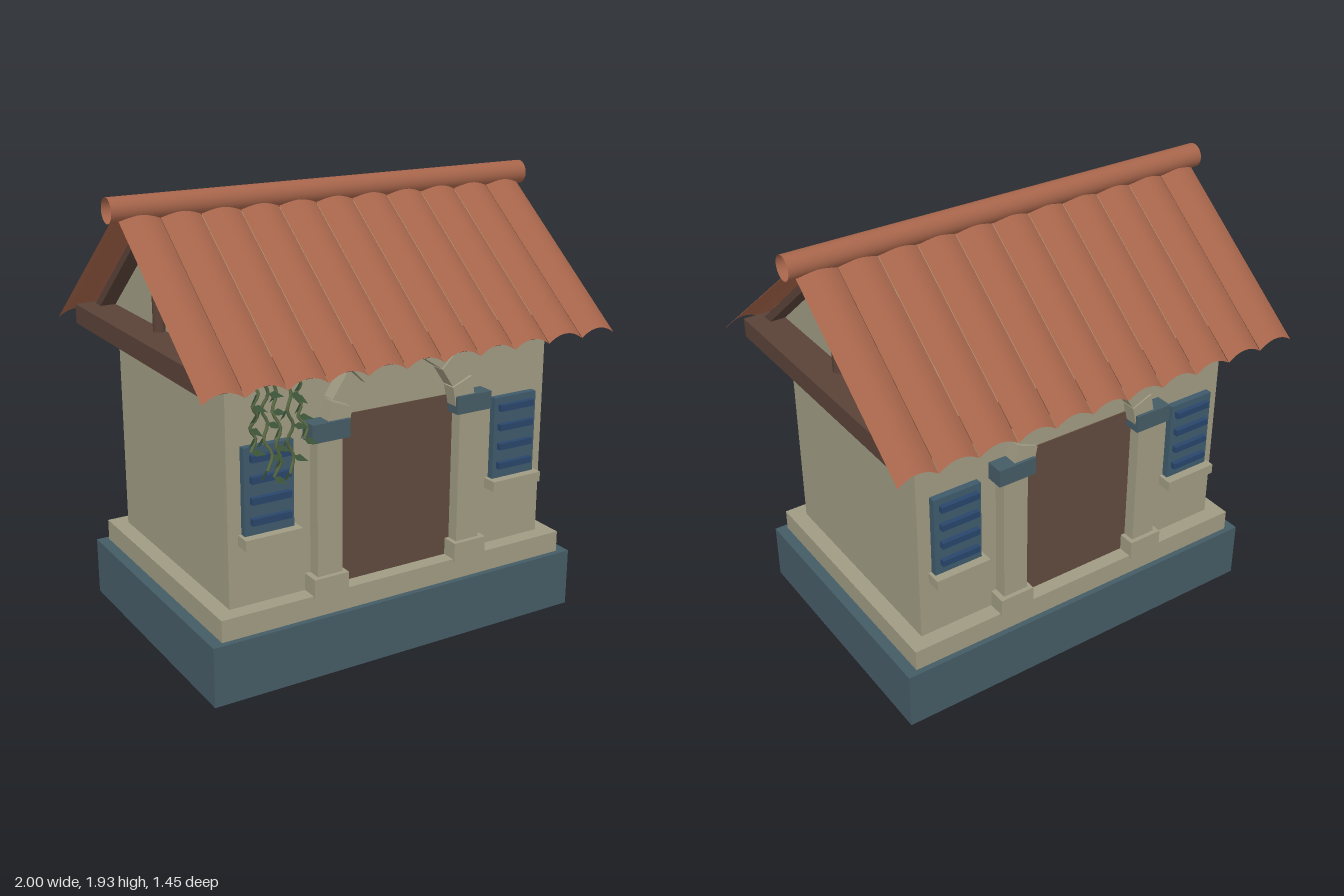
import * as THREE from 'three';

const mat = (name, color, side = THREE.FrontSide) => {
  const m = new THREE.MeshStandardMaterial({ color, side });
  m.name = name;
  return m;
};

export function createModel() {
  const stone = mat('warm stone', 0xa09b83);
  const slate = mat('blue slate', 0x455c66);
  const timber = mat('dark timber', 0x5a4238);
  const doorWood = mat('door wood', 0x604a3e);
  const shutterBlue = mat('shutter blue', 0x3f5a6b);
  const slatBlue = mat('slat blue', 0x29466b);
  const clay = mat('clay tile', 0xa5644a, THREE.DoubleSide);
  const stemGreen = mat('stem green', 0x5a6b45);
  const leafGreen = mat('leaf green', 0x4a6848, THREE.DoubleSide);

  const house = new THREE.Group();
  house.name = 'house';

  const add = (parent, name, geometry, material) => {
    const mesh = new THREE.Mesh(geometry, material);
    mesh.name = name;
    parent.add(mesh);
    return mesh;
  };
  // Box given by its limits on each axis
  const box = (parent, name, material, x0, x1, y0, y1, z0, z1) => {
    const mesh = add(parent, name, new THREE.BoxGeometry(x1 - x0, y1 - y0, z1 - z0), material);
    mesh.position.set((x0 + x1) / 2, (y0 + y1) / 2, (z0 + z1) / 2);
    return mesh;
  };
  const polygon = (points) => new THREE.Shape(points.map(([x, y]) => new THREE.Vector2(x, y)));

  // Base, walls and wall-top frame
  box(house, 'plinth', slate, -0.89, 0.89, 0, 0.26, -0.605, 0.605);
  box(house, 'step', stone, -0.84, 0.84, 0.26, 0.355, -0.58, 0.58);
  box(house, 'walls', stone, -0.77, 0.77, 0.355, 1.295, -0.51, 0.51);
  box(house, 'eaveFrame', timber, -0.92, 0.92, 1.29, 1.375, -0.62, 0.62);

  // Gable prism running along x
  const gable = new THREE.ExtrudeGeometry(
    polygon([[-0.55, 1.37], [0.55, 1.37], [0, 1.83]]), { depth: 1.54, bevelEnabled: false });
  gable.translate(0, 0, -0.77).rotateY(Math.PI / 2);
  add(house, 'gable', gable, stone);

  // Rafters and king post at both ends
  for (const s of [-1, 1]) {
    for (const side of [-1, 1]) {
      const points = [[0, 1.86], [0, 1.82], [0.53 * side, 1.375], [0.585 * side, 1.375]];
      const rafter = new THREE.ExtrudeGeometry(polygon(points), { depth: 0.07, bevelEnabled: false });
      rafter.translate(0, 0, -0.035).rotateY(Math.PI / 2);
      add(house, 'rafter', rafter, timber).position.x = 0.805 * s;
    }
    const post = add(house, 'kingPost', new THREE.CylinderGeometry(0.025, 0.025, 0.37, 10), timber);
    post.position.set(0.8 * s, 1.565, 0);
  }

  // Facade used on the front and the back
  const facade = new THREE.Group();
  facade.name = 'facade';
  box(facade, 'door', doorWood, -0.285, 0.285, 0.355, 1.08, 0.506, 0.515);
  for (const s of [-1, 1]) {
    const sideBox = (name, m, a, b, ...rest) =>
      box(facade, name, m, Math.min(a * s, b * s), Math.max(a * s, b * s), ...rest);
    sideBox('column', stone, 0.285, 0.4, 0.355, 1.02, 0.5, 0.57);
    sideBox('columnBase', stone, 0.265, 0.425, 0.345, 0.43, 0.5, 0.59);
    sideBox('columnCapital', slate, 0.26, 0.433, 1.01, 1.087, 0.5, 0.588);
    sideBox('shutter', shutterBlue, 0.49, 0.71, 0.665, 1.03, 0.5, 0.54);
    sideBox('windowSill', stone, 0.472, 0.725, 0.62, 0.665, 0.5, 0.578);
    for (let i = 0; i < 4; i++) {
      const y = 0.725 + i * 0.087;
      sideBox('shutterSlat', slatBlue, 0.51, 0.685, y - 0.014, y + 0.014, 0.53, 0.562);
    }
  }
  // Arch stones
  const stones = 8, gap = 0.012;
  for (let i = 0; i < stones; i++) {
    const a = Math.PI * i / stones + gap, b = Math.PI * (i + 1) / stones - gap;
    const at = (r, t) => [r * Math.cos(t), 1.03 + r * Math.sin(t)];
    const shape = polygon([at(0.262, a), at(0.363, a), at(0.363, b), at(0.262, b)]);
    const wedge = new THREE.ExtrudeGeometry(shape, { depth: 0.075, bevelEnabled: false });
    add(facade, 'archStone', wedge, stone).position.z = 0.5;
  }
  house.add(facade);
  const rear = facade.clone();
  rear.name = 'rearFacade';
  rear.rotation.y = Math.PI;
  house.add(rear);

  // Curved clay tiles on both slopes
  const count = 11, pitch = 1.93 / count, width = pitch - 0.002;
  const tile = new THREE.PlaneGeometry(width, 0.72, 10, 1).rotateX(-Math.PI / 2);
  const p = tile.attributes.position;
  for (let i = 0; i < p.count; i++) {
    const u = p.getX(i) / (width / 2), z = p.getZ(i) + 0.365;
    p.setXYZ(i, p.getX(i), 1.9 - 0.787 * z - 0.032 * u * u, z);
  }
  tile.computeVertexNormals();
  for (const turn of [0, Math.PI]) {
    const slope = new THREE.Group();
    slope.name = 'roofSlope';
    slope.rotation.y = turn;
    for (let i = 0; i < count; i++) {
      add(slope, 'roofTile', tile, clay).position.x = (i - (count - 1) / 2) * pitch;
    }
    house.add(slope);
  }
  // Open ridge tube
  const ridge = new THREE.CylinderGeometry(0.052, 0.052, 2, 24, 1, true).rotateZ(Math.PI / 2);
  add(house, 'ridge', ridge, clay).position.y = 1.883;

  // Hanging vine over one front window
  const vine = new THREE.Group();
  vine.name = 'vine';
  const leaf = new THREE.ShapeGeometry(polygon([[0, 0], [0.02, 0.018], [0.062, 0], [0.02, -0.016]]));
  const ends = [[-0.69, 1.03], [-0.63, 0.95], [-0.59, 0.91], [-0.52, 0.91], [-0.47, 1.05]];
  ends.forEach(([endX, endY], k) => {
    const startX = -0.69 + k * 0.045, points = [];
    for (let i = 0; i <= 6; i++) {
      const t = i / 6;
      points.push(new THREE.Vector3(
        startX + (endX - startX) * t + (i % 2 ? 0.013 : -0.013),
        1.31 + (endY - 1.31) * t,
        0.595 + 0.015 * Math.sin(k * 2 + i)));
    }
    const path = new THREE.CatmullRomCurve3(points);
    add(vine, 'vineStem', new THREE.TubeGeometry(path, 18, 0.007, 5), stemGreen);
    points.slice(1).forEach((point, i) => {
      const blade = add(vine, 'vineLeaf', leaf, leafGreen);
      blade.position.copy(point);
      const left = (i + k) % 2 === 0;
      blade.rotation.set(0.3, left ? -2.5 : -0.6, -0.45 + 0.25 * ((i + 2 * k) % 3));
    });
  });
  house.add(vine);

  return house;
}
